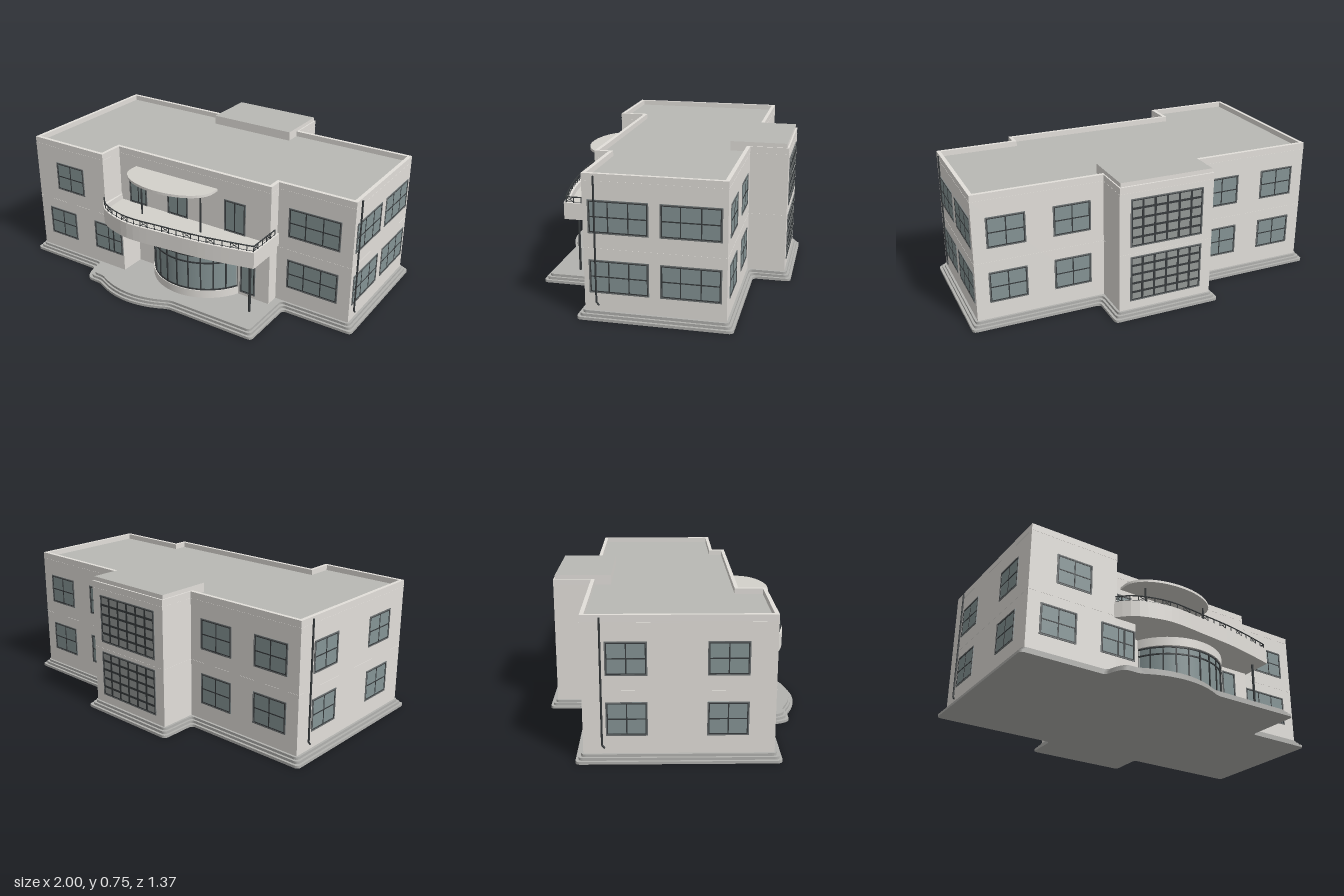
import * as THREE from 'three';

const mat = (name, color) => {
  const m = new THREE.MeshStandardMaterial({ color });
  m.name = name;
  return m;
};

export function createModel() {
  const root = new THREE.Group();
  root.name = 'villa';
  const wall = mat('wall plaster', 0xe2dfda);
  const concrete = mat('pale concrete', 0xd3d1cb);
  const roof = mat('roof grey', 0xb8b8b4);
  const stone = mat('plinth stone', 0xb2b2af);
  const glass = mat('window glass', 0x859495);
  const block = mat('stair glass', 0x949896);
  const trim = mat('window surround', 0x6c7071);
  const dark = mat('dark metal', 0x383c3e);

  const add = (name, geo, m, parent = root) => {
    const mesh = new THREE.Mesh(geo, m);
    mesh.name = name;
    parent.add(mesh);
    return mesh;
  };
  const group = (name) => {
    const g = new THREE.Group();
    g.name = name;
    root.add(g);
    return g;
  };
  const box = (name, w, h, d, x, y, z, m, parent) => {
    const b = add(name, new THREE.BoxGeometry(w, h, d), m, parent);
    b.position.set(x, y, z);
    return b;
  };
  // Plan points are [x, z]; the shape is drawn in x, -z and laid flat.
  const plan = (pts, hole) => {
    const flat = (list) => list.map(([x, z]) => new THREE.Vector2(x, -z));
    const s = new THREE.Shape(flat(pts));
    if (hole) s.holes.push(new THREE.Path(flat(hole)));
    return s;
  };
  const slab = (name, shape, y0, y1, m) => {
    const g = new THREE.ExtrudeGeometry(shape, { depth: y1 - y0, bevelEnabled: false, curveSegments: 6 });
    g.rotateX(-Math.PI / 2);
    g.translate(0, y0, 0);
    return add(name, g, m);
  };
  // Round bar between two points
  const bar = (name, a, b, r, m, parent) => {
    const p = new THREE.Vector3(...a), q = new THREE.Vector3(...b);
    const mesh = add(name, new THREE.CylinderGeometry(r, r, p.distanceTo(q), 6), m, parent);
    mesh.position.copy(p).add(q).multiplyScalar(0.5);
    mesh.quaternion.setFromUnitVectors(new THREE.Vector3(0, 1, 0), q.sub(p).normalize());
  };
  // Polygon with softened corners
  const rounded = (pts, r) => {
    const s = new THREE.Shape();
    const v = pts.map(([x, z]) => new THREE.Vector2(x, -z));
    v.forEach((p, i) => {
      const cut = (q) => p.clone().lerp(q, Math.min(0.5, r / p.distanceTo(q)));
      const a = cut(v[(i + v.length - 1) % v.length]);
      const b = cut(v[(i + 1) % v.length]);
      if (i) s.lineTo(a.x, a.y); else s.moveTo(a.x, a.y);
      s.quadraticCurveTo(p.x, p.y, b.x, b.y);
    });
    s.closePath();
    return s;
  };

  // Outline of the house, grown outwards by o
  const W = 0.963;
  const rearSide = (o) => [
    [W + o, 0.255 + o], [W + o, -0.446 - o], [0.265 + o, -0.446 - o], [0.265 + o, -0.65 - o],
    [-0.265 - o, -0.65 - o], [-0.265 - o, -0.446 - o], [-W - o, -0.446 - o], [-W - o, 0.475 + o],
  ];
  const house = (o) => [
    ...rearSide(o), [-0.46 + o, 0.475 + o], [-0.46 + o, 0.33 + o], [0.53 + o, 0.33 + o], [0.53 + o, 0.255 + o],
  ];

  // Stepped plinth with bulging front terrace
  const terrace = (o) => {
    const pts = [...rearSide(o), [-0.505 - o, 0.475 + o], [-0.49 - o, 0.53 + o], [-0.46 - o, 0.58 + o]];
    for (let i = 0; i <= 12; i++) {
      const t = i / 12;
      pts.push([-0.41 + 0.48 * t, 0.58 + o + 0.26 * t * (1 - t)]);
    }
    return [...pts, [0.56 + o, 0.58 + o], [0.56 + o, 0.255 + o]];
  };
  [0.037, 0.024, 0.012].forEach((o, i) =>
    slab('plinthStep', rounded(terrace(o), 0.025), i * 0.014, (i + 1) * 0.014, stone));

  // Walls, parapet, roof deck and string courses
  slab('walls', plan(house(0)), 0.042, 0.7, wall);
  slab('parapet', plan(house(0), house(-0.02)), 0.7, 0.733, wall);
  slab('roofDeck', plan(house(-0.02)), 0.7, 0.704, roof);
  for (const y of [0.36, 0.695]) slab('stringCourse', plan(house(0.001)), y, y + 0.003, wall);
  box('rearRoofBlock', 0.516, 0.055, 0.302, 0, 0.7275, -0.49, [wall, wall, roof, wall, wall, wall]);
  box('lowerWingExtension', 0.127, 0.31, 0.155, -0.4065, 0.197, 0.3975, wall);

  // Windows: surround, glass and glazing bars, nearly flush with the wall
  const opening = (name, x, z, ry, w, y0, y1, cols, rows, pane = glass, t = 0.006) => {
    const g = group(name), h = y1 - y0;
    g.position.set(x, (y0 + y1) / 2, z);
    g.rotation.y = ry;
    box('glass', w, h, 0.003, 0, 0, 0, pane, g);
    for (const s of [-1, 1]) {
      box('surroundSide', 0.006, h, 0.008, s * (w / 2 - 0.003), 0, 0, trim, g);
      box('surroundEdge', w, 0.006, 0.008, 0, s * (h / 2 - 0.003), 0, trim, g);
      box('frameSide', 0.005, h - 0.012, 0.006, s * (w / 2 - 0.0085), 0, 0, dark, g);
      box('frameEdge', w - 0.012, 0.005, 0.006, 0, s * (h / 2 - 0.0085), 0, dark, g);
    }
    for (let i = 1; i < cols; i++) box('mullion', t, h - 0.012, 0.006, (i / cols - 0.5) * w, 0, 0, dark, g);
    for (let i = 1; i < rows; i++) box('transom', w - 0.012, t, 0.006, 0, (i / rows - 0.5) * h, 0, dark, g);
    return g;
  };
  const Q = Math.PI / 2;
  [[0.134, 0.305], [0.438, 0.606]].forEach(([a, b], floor) => {
    opening('rightWingWindow', 0.744, 0.255, 0, 0.298, a, b, 3, 2);
    for (const z of [0.08, -0.272]) opening('sideWindow', W, z, Q, 0.298, a, b, 3, 2);
    for (const z of [-0.235, 0.248]) opening('sideWindow', -W, z, -Q, 0.2, a, b, 2, 2);
    for (const x of [-0.79, -0.44, 0.44, 0.79]) opening('rearWindow', x, -0.446, Math.PI, 0.205, a, b, 2, 2);
    opening('stairWindow', 0, -0.65, Math.PI, 0.41, floor ? 0.4 : 0.09, floor ? 0.665 : 0.345, 6, 5, block, 0.012);
  });
  opening('wingWindow', -0.712, 0.475, 0, 0.203, 0.438, 0.606, 2, 2);
  opening('wingWindow', -0.792, 0.475, 0, 0.203, 0.134, 0.305, 2, 2);
  const corner = opening('wingWindow', -0.449, 0.475, 0, 0.203, 0.134, 0.305, 2, 2);
  box('mullion', 0.009, 0.155, 0.006, 0.037, 0, 0, dark, corner);
  for (const [x, w] of [[-0.335, 0.123], [-0.06, 0.138], [0.313, 0.134]])
    opening('balconyDoor', x, 0.33, 0, w, 0.41, 0.594, 2, 1);
  opening('entranceDoor', 0.398, 0.33, 0, 0.095, 0.06, 0.325, 1, 1);

  // Curved ground-floor bay
  const bay = group('bay');
  bay.position.set(0.053, 0, 0.197);
  const half = THREE.MathUtils.degToRad(65);
  const ring = (name, r, y0, y1, m) => {
    add(name, new THREE.CylinderGeometry(r, r, y1 - y0, 30, 1, false, -half, 2 * half), m, bay)
      .position.y = (y0 + y1) / 2;
  };
  ring('bayBase', 0.314, 0.042, 0.086, wall);
  ring('bayGlass', 0.304, 0.086, 0.3, glass);
  ring('bayLintel', 0.314, 0.3, 0.352, wall);
  for (const y of [0.086, 0.25, 0.29]) ring('bayRail', 0.309, y, y + 0.008, dark);
  for (let i = 0; i <= 10; i++) {
    const t = (i / 5 - 1) * half;
    box('bayPost', 0.007, 0.214, 0.01, Math.sin(t) * 0.305, 0.193, Math.cos(t) * 0.305, dark, bay).rotation.y = t;
  }

  // Balcony with a raised rim along a free curve
  const edge = new THREE.SplineCurve([
    [-0.475, 0.475], [-0.41, 0.54], [-0.32, 0.58], [-0.185, 0.605],
    [0.03, 0.588], [0.265, 0.563], [0.54, 0.507],
  ].map((p) => new THREE.Vector2(...p)));
  const front = edge.getSpacedPoints(24).map((p) => [p.x, p.y]);
  const outline = [[-0.475, 0.32], ...front, [0.54, 0.282], [0.4, 0.282]];
  const inner = front.slice(1, -1).map(([x, z]) => [x + 0.005, z - 0.024]);
  slab('balconyFloor', plan(outline), 0.35, 0.41, [concrete, wall]);
  slab('balconyRim', plan(outline, [[-0.455, 0.325], ...inner, [0.518, 0.486], [0.518, 0.325]]), 0.41, 0.441, wall);
  box('balconyBackBlock', 0.04, 0.071, 0.04, 0.52, 0.4055, 0.272, wall);

  // Railing with some crossed panels
  const railing = group('railing');
  const path = front.map(([x, z]) => [Math.min(x, 0.532), z - 0.01]);
  for (let i = 1; i <= 5; i++) path.push([0.532, 0.497 - i * 0.042]);
  path.forEach(([x, z], i) => {
    bar('post', [x, 0.438, z], [x, 0.475, z], 0.0025, dark, railing);
    if (!i) return;
    const [px, pz] = path[i - 1];
    bar('topRail', [px, 0.473, pz], [x, 0.473, z], 0.0035, dark, railing);
    bar('lowRail', [px, 0.446, pz], [x, 0.446, z], 0.0015, dark, railing);
    if (i % 3 === 1) {
      bar('cross', [px, 0.446, pz], [x, 0.473, z], 0.0018, dark, railing);
      bar('cross', [px, 0.473, pz], [x, 0.446, z], 0.0018, dark, railing);
    }
  });

  // Rounded canopy on two slim posts
  const canopy = [[-0.343, 0.325]];
  for (let i = 0; i <= 28; i++) {
    const t = Math.PI * (1 - i / 28);
    canopy.push([-0.07 + 0.273 * Math.cos(t), 0.375 + 0.157 * Math.sin(t)]);
  }
  slab('canopy', plan([...canopy, [0.203, 0.325]]), 0.627, 0.641, [concrete, wall]);
  for (const x of [-0.24, 0.155]) bar('canopyPost', [x, 0.41, 0.42], [x, 0.63, 0.42], 0.005, dark);
  bar('porchColumn', [0.482, 0.04, 0.446], [0.482, 0.352, 0.446], 0.007, dark);

  // Downpipes
  for (const [s, z] of [[1, 0.196], [-1, -0.355]]) {
    const x = s * (W + 0.004);
    bar('downpipe', [x, 0.085, z], [x, 0.722, z], 0.005, dark);
    bar('downpipeFoot', [x, 0.087, z], [x, 0.07, z - s * 0.013], 0.005, dark);
  }
  return root;
}
